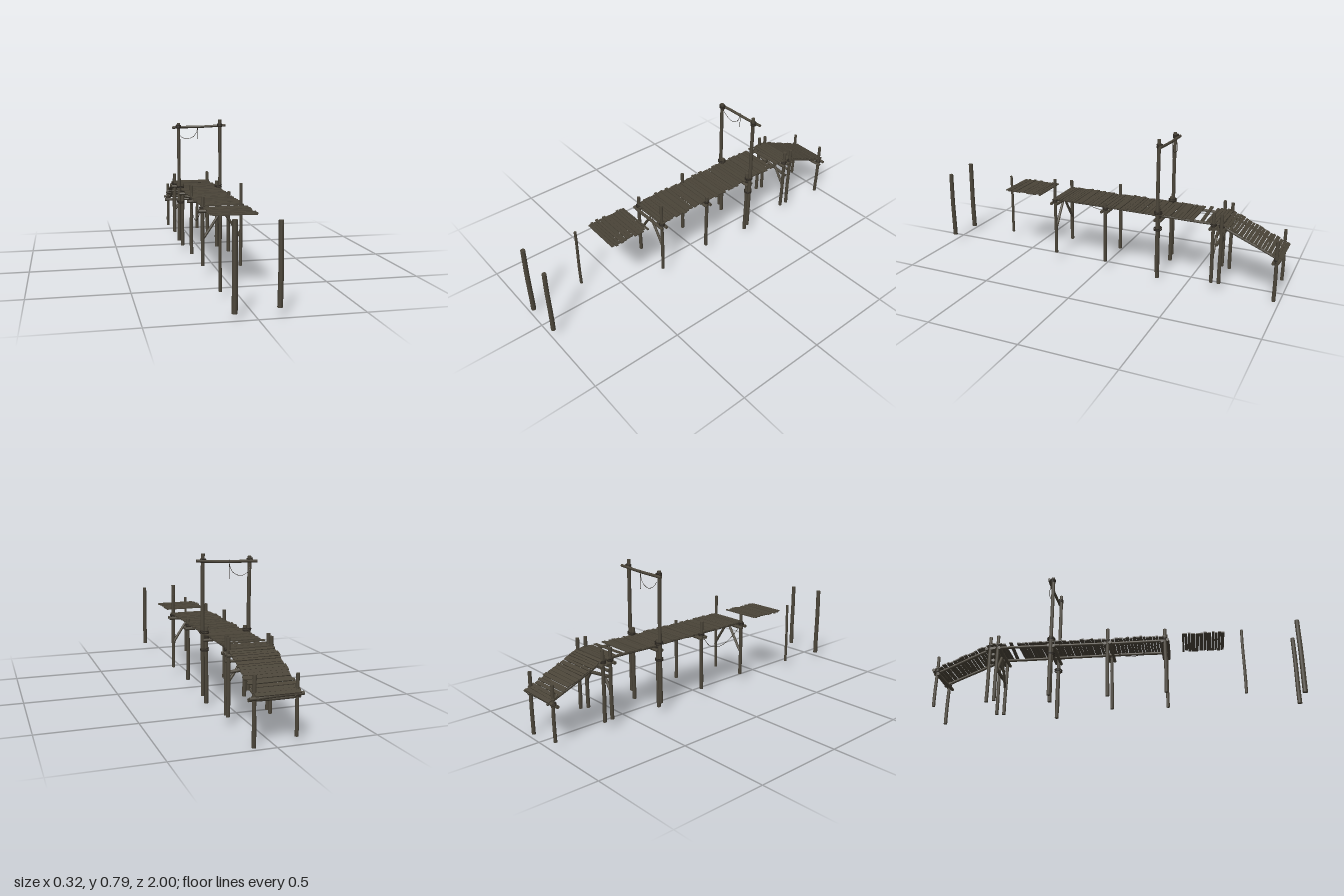
import * as THREE from 'three';

export function createModel() {
  const root = new THREE.Group();
  const wood = new THREE.MeshStandardMaterial({ color: 0x4b4539 });
  wood.name = 'weathered wood';
  const plankWood = new THREE.MeshStandardMaterial({ color: 0x4a4438 });
  plankWood.name = 'plank wood';
  const ropeMat = new THREE.MeshStandardMaterial({ color: 0x2f2a23 });
  ropeMat.name = 'dark rope';

  let seed = 7;
  const rnd = () => (seed = (seed * 16807) % 2147483647) / 2147483647;
  const vary = (a) => (rnd() - 0.5) * 2 * a;
  const V = (x, y, z) => new THREE.Vector3(x, y, z);
  const UP = V(0, 1, 0);

  const add = (name, geo, mat, parent = root) => {
    const m = new THREE.Mesh(geo, mat);
    m.name = name;
    parent.add(m);
    return m;
  };

  // Slightly bent, tapered log between two points
  function log(name, a, b, r, bend = 0.002) {
    const len = a.distanceTo(b);
    const geo = new THREE.CylinderGeometry(r * 0.93, r, len, 10, 6);
    const p = geo.attributes.position;
    const phase = rnd() * 6;
    for (let i = 0; i < p.count; i++) {
      const t = p.getY(i) / len + 0.5;
      const s = Math.sin(Math.PI * t) * bend;
      p.setX(i, p.getX(i) + s * Math.cos(phase + t * 3));
      p.setZ(i, p.getZ(i) + s * Math.sin(phase + t * 3));
    }
    geo.computeVertexNormals();
    const m = add(name, geo, wood);
    m.position.copy(a).lerp(b, 0.5);
    m.quaternion.setFromUnitVectors(UP, b.clone().sub(a).normalize());
    return m;
  }

  // Rope coils wound round a post
  function binding(x, y, z, r, turns = 3) {
    for (let i = 0; i < turns; i++) {
      const m = add('ropeBinding', new THREE.TorusGeometry(r, 0.0028, 5, 14), ropeMat);
      m.position.set(x, y + (i - (turns - 1) / 2) * 0.005, z);
      m.rotation.set(Math.PI / 2 + vary(0.12), vary(0.12), 0);
    }
  }

  const rope = (name, pts) =>
    add(name, new THREE.TubeGeometry(new THREE.CatmullRomCurve3(pts), 32, 0.0014, 5), ropeMat);

  // Posts: x, z, bottom, top, radius
  const posts = [
    [-0.103, 0.985, 0.03, 0.44, 0.0135], [0.1, 0.985, 0.045, 0.43, 0.0125],
    [-0.1, 0.69, 0.04, 0.4, 0.008],
    [-0.103, 0.28, 0.06, 0.425, 0.01], [0.1, 0.28, 0.05, 0.49, 0.009],
    [-0.107, -0.03, 0.05, 0.44, 0.01], [0.107, -0.03, 0.055, 0.4, 0.01],
    [-0.128, -0.34, 0.06, 0.77, 0.0105], [0.123, -0.34, 0.055, 0.79, 0.0105],
    [-0.107, -0.338, 0.03, 0.41, 0.011], [0.104, -0.338, 0.012, 0.42, 0.011],
    [-0.107, -0.64, 0.05, 0.43, 0.01], [0.107, -0.64, 0.045, 0.435, 0.01],
    [-0.103, -0.683, 0.045, 0.425, 0.01], [0.113, -0.683, 0.05, 0.435, 0.01],
    [-0.105, -0.97, 0.03, 0.32, 0.009], [0.1, -0.97, 0, 0.33, 0.01],
  ];
  for (const [x, z, y0, y1, r] of posts) log('post', V(x, y0, z), V(x, y1, z), r);

  // Cross logs under the deck, lashed to the posts
  for (const z of [0.28, -0.03, -0.34, -0.64, -0.683]) {
    for (const side of [-1, 1]) {
      log('crossLog', V(-0.128, 0.349 + vary(0.004), z + side * 0.014),
        V(0.126, 0.349 + vary(0.004), z + side * 0.014), 0.009);
    }
    for (const x of [-0.106, 0.104]) binding(x, 0.366, z, 0.0135);
  }
  log('rampCrossLog', V(-0.13, 0.232, -0.984), V(0.13, 0.227, -0.984), 0.009);
  log('rampCrossLog', V(-0.125, 0.212, -0.958), V(0.125, 0.215, -0.958), 0.009);
  log('rearTie', V(-0.11, 0.285, -0.66), V(0.11, 0.26, -0.66), 0.009);
  log('rearTie', V(-0.12, 0.316, -0.66), V(0.12, 0.314, -0.66), 0.008);
  for (const x of [-0.105, 0.1]) binding(x, 0.226, -0.97, 0.013);
  for (const x of [-0.118, 0.114]) for (const y of [0.3, 0.39]) binding(x, y, -0.34, 0.02);

  // Diagonal braces
  for (const z of [0.277, -0.643]) {
    for (const s of [-1, 1]) log('brace', V(s * 0.1, 0.205, z), V(s * 0.008, 0.342, z), 0.0075, 0.001);
  }

  // Stringers along the deck and down the ramp
  for (const s of [-1, 1]) {
    log('stringer', V(s * 0.082, 0.367, 0.293), V(s * 0.082, 0.366, -0.36), 0.008);
    log('stringer', V(s * 0.088, 0.366, -0.3), V(s * 0.086, 0.366, -0.7), 0.008);
    log('rampStringer', V(s * 0.088, 0.36, -0.68), V(s * 0.088, 0.222, -0.993), 0.008);
  }

  // Uneven planks laid in order from one point to another (y, z)
  function planks(name, y0, z0, y1, z1, left, right, gap = null) {
    const group = new THREE.Group();
    group.name = name;
    root.add(group);
    const len = Math.hypot(z1 - z0, y1 - y0);
    const tilt = Math.atan2(y1 - y0, z0 - z1);
    for (let d = 0; d < len - 0.008;) {
      const w = Math.min(0.013 + rnd() * 0.01, len - d);
      const t = (d + w / 2) / len;
      const z = z0 + (z1 - z0) * t;
      d += w + 0.0015 + rnd() * 0.002;
      if (gap && z < gap[0] && z > gap[1]) continue;
      const xa = left + vary(0.008), xb = right + vary(0.008);
      const m = add('plank', new THREE.BoxGeometry(xb - xa, 0.0055, w), plankWood, group);
      m.position.set((xa + xb) / 2, y0 + (y1 - y0) * t + vary(0.0015), z);
      m.rotation.set(tilt + vary(0.05), vary(0.012), vary(0.006));
    }
  }
  planks('deck', 0.379, 0.285, 0.379, -0.69, -0.117, 0.112, [-0.53, -0.59]);
  planks('ramp', 0.374, -0.692, 0.238, -0.998, -0.115, 0.11);
  planks('looseDeck', 0.385, 0.6, 0.385, 0.372, -0.124, 0.105);

  // Skewed plank beside the hole in the deck
  const skew = add('skewedPlank', new THREE.BoxGeometry(0.23, 0.0055, 0.018), plankWood);
  skew.position.set(-0.005, 0.381, -0.573);
  skew.rotation.y = 0.06;

  // Gantry beam with its lashings and hanging rope
  log('gantryBeam', V(-0.162, 0.744, -0.357), V(0.162, 0.755, -0.357), 0.008, 0.003);
  binding(-0.128, 0.75, -0.343, 0.014, 4);
  binding(0.123, 0.755, -0.343, 0.014, 4);
  rope('gantryRope', [V(-0.125, 0.715, -0.355), V(-0.112, 0.692, -0.362), V(-0.072, 0.675, -0.366),
    V(-0.032, 0.69, -0.366), V(-0.012, 0.722, -0.366), V(-0.008, 0.752, -0.366)]);
  rope('ropeEnd', [V(-0.008, 0.757, -0.366), V(-0.007, 0.71, -0.368), V(-0.008, 0.66, -0.367)]);

  // Rope sagging between two posts
  rope('sideRope', [V(-0.108, 0.355, 0.27), V(-0.11, 0.315, 0.215), V(-0.11, 0.277, 0.145),
    V(-0.11, 0.27, 0.09), V(-0.11, 0.292, 0.025), V(-0.11, 0.355, -0.025)]);

  return root;
}
